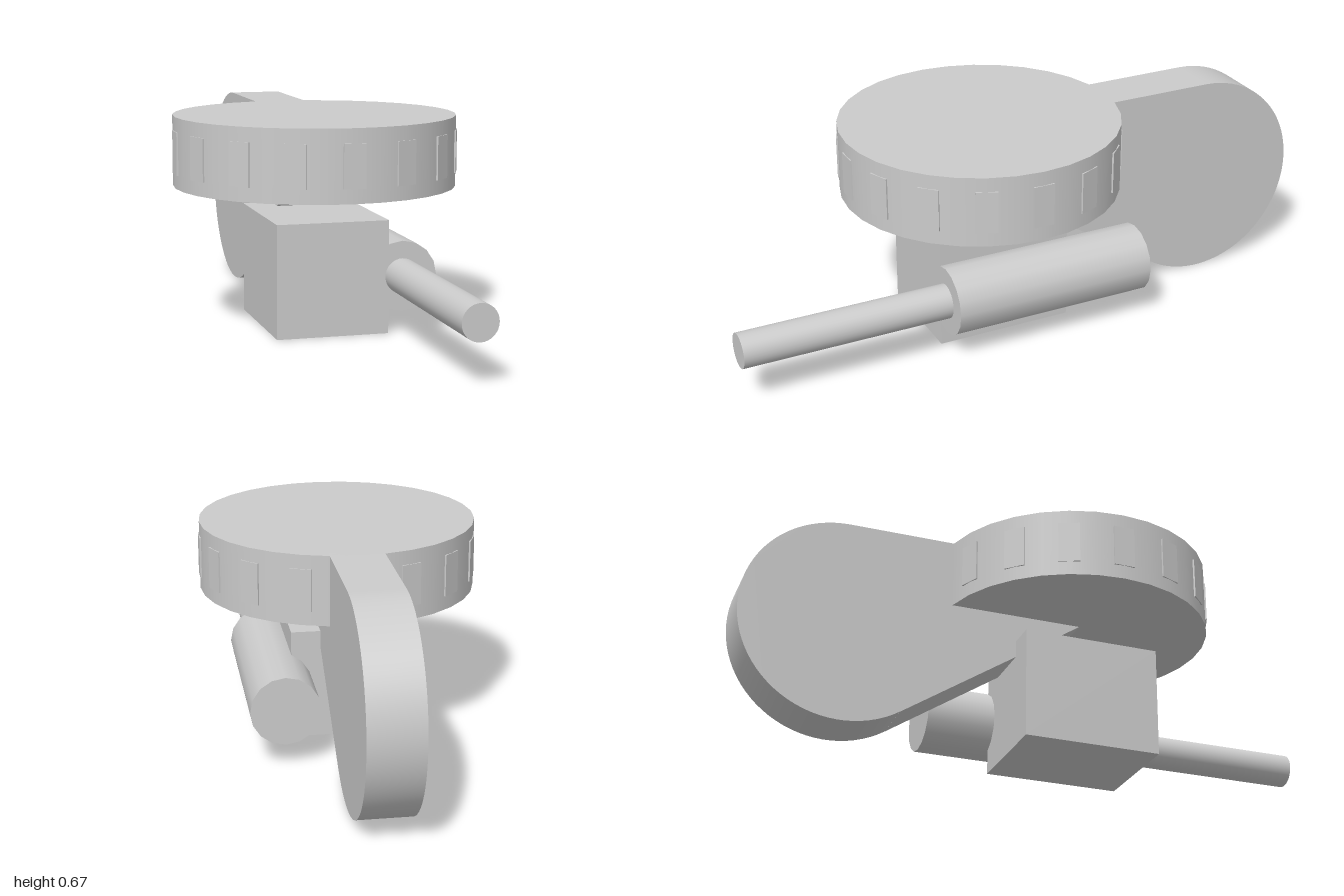
import * as THREE from 'three';
import { toCreasedNormals } from 'three/addons/utils/BufferGeometryUtils.js';

export function createModel() {
  const model = new THREE.Group();
  const material = new THREE.MeshStandardMaterial({ color: 0xcccccc });
  const add = (name, geometry, x, y, z, parent = model) => {
    const mesh = new THREE.Mesh(geometry, material);
    mesh.name = name;
    mesh.position.set(x, y, z);
    parent.add(mesh);
    return mesh;
  };

  // Round upper disc
  const discRadius = 0.444, discZ = 0.111;
  add('disc', new THREE.CylinderGeometry(discRadius, discRadius, 0.222, 32), 0, 0.556, discZ);

  // Shallow raised panels spaced around the disc rim
  const panels = new THREE.Group();
  panels.name = 'rimPanels';
  panels.position.set(0, 0.556, discZ);
  const panelGeometry = new THREE.BoxGeometry(0.067, 0.133, 0.044);
  for (let i = 0; i < 16; i++) {
    const a = (i / 16) * Math.PI * 2;
    const r = discRadius + 0.002 - 0.022;
    add('rimPanel', panelGeometry, Math.sin(a) * r, 0, Math.cos(a) * r, panels).rotation.y = a;
  }
  model.add(panels);

  // Rounded rear fin, drawn in the z-y plane and tapering up under the disc
  const outline = new THREE.Shape();
  outline.moveTo(-0.28, 0.667);
  outline.lineTo(-0.28, 0.5);
  outline.lineTo(0.11, 0.447);
  outline.lineTo(-0.483, 0.055);
  outline.absarc(-0.667, 0.3335, 0.3335, -0.986, -1.5 * Math.PI, true);
  outline.closePath();
  const finWidth = 0.168;
  const fin = new THREE.ExtrudeGeometry(outline, { depth: finWidth, bevelEnabled: false, curveSegments: 24 });
  fin.translate(0, 0, -finWidth / 2);
  fin.rotateY(-Math.PI / 2);
  add('rearFin', toCreasedNormals(fin, 0.5), 0, 0, 0);

  // Lower block
  add('lowerBlock', new THREE.BoxGeometry(0.355, 0.355, 0.444), 0, 0.1775, 0.111);

  // Side barrel with a thinner rod reaching forward
  const rod = (name, radius, sides, z0, z1) => {
    const geometry = new THREE.CylinderGeometry(radius, radius, z1 - z0, sides);
    geometry.rotateX(Math.PI / 2);
    add(name, geometry, 0.222, 0.179, (z0 + z1) / 2);
  };
  rod('sideBarrel', 0.11, 16, -0.333, 0.333);
  rod('frontRod', 0.055, 32, 0.3, 1);

  return model;
}
